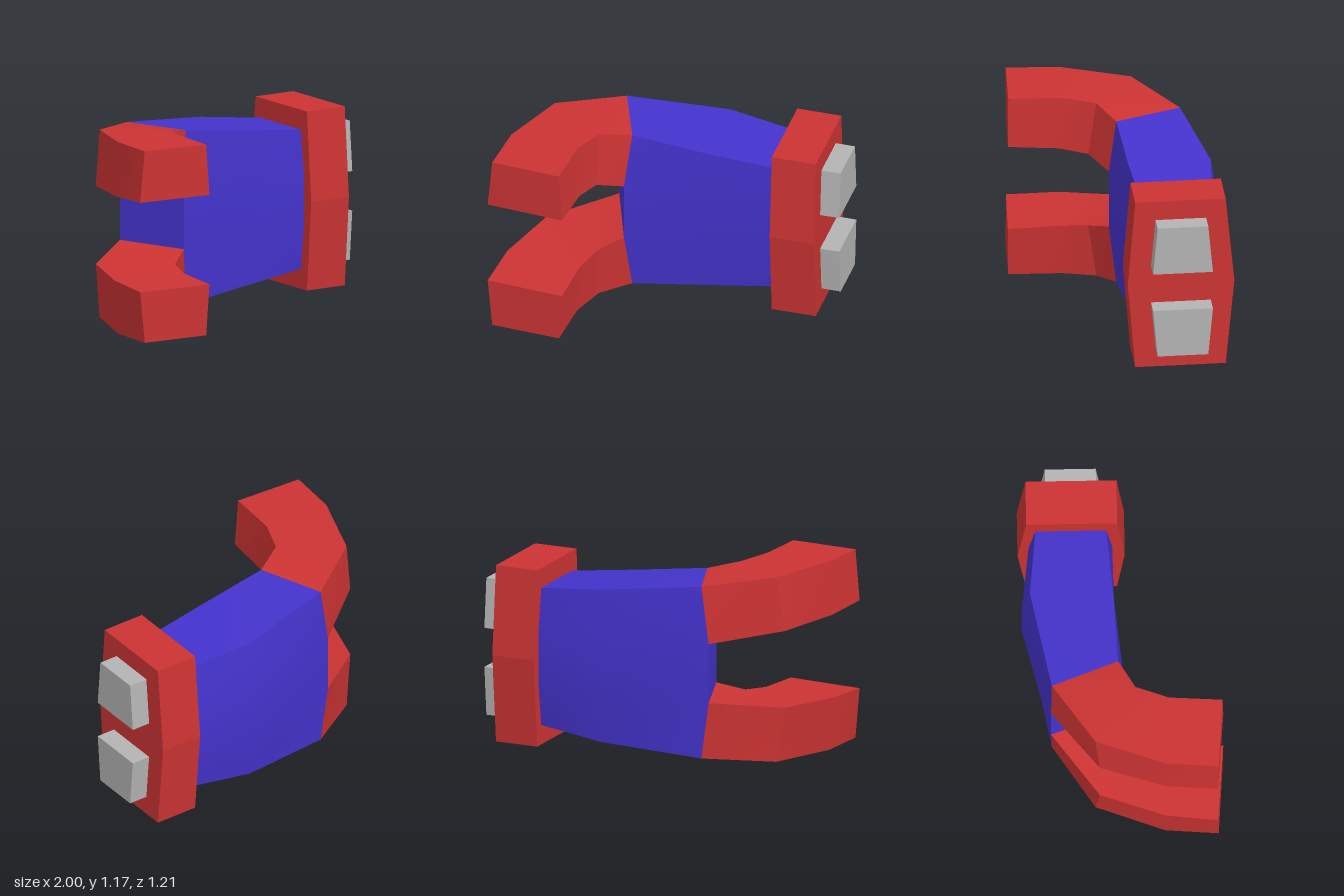
import * as THREE from 'three';
import { toCreasedNormals } from 'three/addons/utils/BufferGeometryUtils.js';

const MID = 0.587; // height of the mirror plane
const flip = (y) => 2 * MID - y;

// Skin a row of equal-length rings running towards +x; caps lists extra faces as point loops.
function loft(rings, caps) {
  const pos = [];
  const face = (p) => {
    for (let i = 1; i < p.length - 1; i++) pos.push(...p[0], ...p[i], ...p[i + 1]);
  };
  for (let r = 0; r < rings.length - 1; r++) {
    const a = rings[r], b = rings[r + 1], n = a.length;
    for (let i = 0; i < n; i++) {
      const j = (i + 1) % n;
      face([a[i], b[i], b[j], a[j]]);
    }
  }
  caps.forEach(face);
  const g = new THREE.BufferGeometry();
  g.setAttribute('position', new THREE.Float32BufferAttribute(pos, 3));
  return toCreasedNormals(g, 0.5);
}

// Extrude an outline of [z, y] points along x.
function slab(outline, x0, x1) {
  const shape = new THREE.Shape(outline.map(([z, y]) => new THREE.Vector2(-z, y)));
  const g = new THREE.ExtrudeGeometry(shape, { depth: x1 - x0, bevelEnabled: false });
  return g.rotateY(Math.PI / 2).translate(x0, 0, 0);
}

export function createModel() {
  const red = new THREE.MeshStandardMaterial({ color: 0xcc3333 });
  red.name = 'red';
  const blue = new THREE.MeshStandardMaterial({ color: 0x4433cc });
  blue.name = 'blue';
  const grey = new THREE.MeshStandardMaterial({ color: 0xb3b3b3 });
  grey.name = 'grey';

  const model = new THREE.Group();
  model.name = 'gripper';
  const add = (name, geometry, material) => {
    const mesh = new THREE.Mesh(geometry, material);
    mesh.name = name;
    model.add(mesh);
  };

  // Upper claw sections, tip to root: front inner, front top, back top, back inner
  const claw = [
    [[-0.525, 0.86, 0.605], [-0.545, 1.17, 0.6], [-0.97, 1.172, 0.57], [-1.0, 0.86, 0.565]],
    [[-0.505, 0.845, 0.3], [-0.525, 1.17, 0.28], [-0.945, 1.172, 0.25], [-0.97, 0.845, 0.25]],
    [[-0.45, 0.825, 0.13], [-0.45, 1.16, 0.08], [-0.795, 1.16, -0.165], [-0.84, 0.825, -0.14]],
    [[-0.31, 0.77, 0.02], [-0.27, 1.12, -0.02], [-0.42, 1.12, -0.42], [-0.47, 0.77, -0.425]],
  ];
  const lower = claw.map((ring) => ring.map(([x, y, z]) => [x, flip(y), z]).reverse());
  add('upperClaw', loft(claw, [claw[0]]), red);
  add('lowerClaw', loft(lower, [lower[0]]), red);

  // Body: each upper half section is mirrored into an eight-point ring
  const halves = [
    claw[3],
    [[0.19, 0.75, -0.035], [0.19, 1.06, -0.042], [0.19, 1.06, -0.54], [0.19, 0.75, -0.59]],
    [[0.61, 0.73, -0.04], [0.61, 1.012, -0.075], [0.61, 1.012, -0.5], [0.61, 0.73, -0.54]],
  ];
  const body = halves.map((h) => {
    const m = h.map(([x, y, z]) => [x, flip(y), z]);
    return [m[1], m[0], ...h, m[3], m[2]];
  });
  const root = body[0];
  add('body', loft(body, [[root[1], root[2], root[5], root[6]]]), blue);

  // End plate with pointed front and back edges
  add('endPlate', slab([
    [-0.01, 0.04], [-0.555, 0.04], [-0.607, MID], [-0.555, 1.134], [-0.01, 1.134], [0.035, MID],
  ], 0.603, 0.877), red);

  // Tapered pegs on the plate
  const peg = [[-0.105, 0.708], [-0.465, 0.708], [-0.437, 1.012], [-0.132, 1.012]];
  add('upperPeg', slab(peg, 0.87, 0.997), grey);
  add('lowerPeg', slab(peg.map(([z, y]) => [z, flip(y)]), 0.87, 0.997), grey);

  return model;
}
